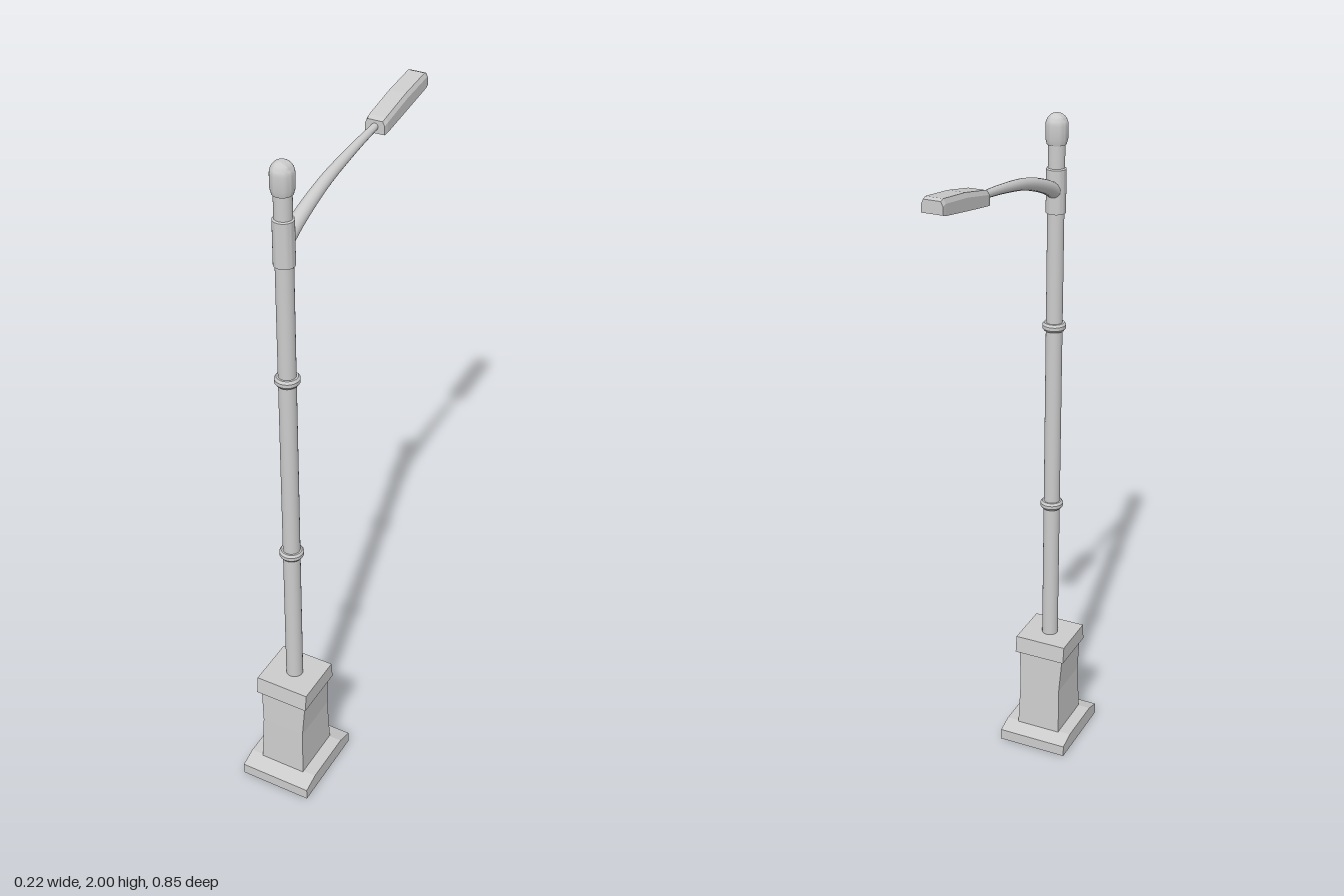
import * as THREE from 'three';
import { toCreasedNormals } from 'three/addons/utils/BufferGeometryUtils.js';

const POLE_Z = 0.293;
const smooth = new THREE.MeshStandardMaterial({ color: 0xcccccc });
const flat = new THREE.MeshStandardMaterial({ color: 0xcccccc, flatShading: true });

function add(group, name, geometry, material = smooth) {
  const mesh = new THREE.Mesh(geometry, material);
  mesh.name = name;
  group.add(mesh);
  return mesh;
}

// Closed skin through equal-length loops, counter-clockwise seen from the last loop's side
function loft(loops) {
  const n = loops[0].length, index = [];
  for (let i = 0; i < loops.length - 1; i++) {
    for (let j = 0; j < n; j++) {
      const a = i * n + j, b = i * n + (j + 1) % n;
      index.push(a, b, b + n, a, b + n, a + n);
    }
  }
  const last = (loops.length - 1) * n;
  for (let j = 1; j < n - 1; j++) {
    index.push(0, j + 1, j, last, last + j, last + j + 1);
  }
  const g = new THREE.BufferGeometry();
  g.setAttribute('position', new THREE.Float32BufferAttribute(loops.flat(2), 3));
  g.setIndex(index);
  g.computeVertexNormals();
  return g;
}

// Rectangular loop at height y with half sizes hx, hz
const rect = ([y, hx, hz]) => [[-hx, y, hz], [hx, y, hz], [hx, y, -hz], [-hx, y, -hz]];

function turned(points, segments = 32) {
  const profile = points.map(([r, y]) => new THREE.Vector2(r, y));
  return toCreasedNormals(new THREE.LatheGeometry(profile, segments), 0.6);
}

export function createModel() {
  const model = new THREE.Group();
  model.name = 'streetLamp';

  // Pedestal
  const blocks = {
    footing: [[0, 0.109, 0.131], [0.035, 0.109, 0.131], [0.05, 0.109, 0.08]],
    pedestalBody: [[0.04, 0.07, 0.084], [0.2, 0.066, 0.076], [0.32, 0.073, 0.069]],
    pedestalCap: [[0.312, 0.081, 0.082], [0.365, 0.081, 0.076]],
  };
  for (const [name, sections] of Object.entries(blocks)) {
    add(model, name, loft(sections.map(rect)), flat).position.z = POLE_Z;
  }

  // Pole with its rings, arm collar and domed cap
  const pole = new THREE.Group();
  pole.name = 'pole';
  pole.position.z = POLE_Z;
  model.add(pole);
  add(pole, 'shaft', new THREE.CylinderGeometry(0.0235, 0.0245, 1.6, 32).translate(0, 1.15, 0));
  for (const y of [0.82, 1.392]) {
    add(pole, 'ring', turned([[0.022, -0.012], [0.029, -0.012], [0.034, -0.005],
      [0.034, 0.005], [0.029, 0.012], [0.022, 0.012]])).position.y = y;
  }
  add(pole, 'collar', turned([[0.022, 1.725], [0.028, 1.725], [0.028, 1.848], [0.022, 1.852]]));
  const dome = [];
  for (let i = 0; i <= 8; i++) {
    const a = i / 8 * Math.PI / 2;
    dome.push([0.031 * Math.cos(a), 1.968 + 0.032 * Math.sin(a)]);
  }
  add(pole, 'cap', turned([[0, 1.915], [0.027, 1.915], [0.031, 1.93], ...dome]));

  // Curved arm, tapering towards the lamp
  const path = new THREE.CatmullRomCurve3([[1.782, 0.293], [1.812, 0.23], [1.854, 0.1],
    [1.88, -0.05], [1.896, -0.2]].map(([y, z]) => new THREE.Vector3(0, y, z)));
  const steps = 24, sides = 16;
  const arm = new THREE.TubeGeometry(path, steps, 1, sides);
  const pos = arm.attributes.position, v = new THREE.Vector3();
  for (let i = 0; i < pos.count; i++) {
    const t = Math.floor(i / (sides + 1)) / steps, c = path.getPointAt(t);
    v.fromBufferAttribute(pos, i).sub(c).multiplyScalar(0.022 - 0.013 * t).add(c);
    pos.setXYZ(i, v.x, v.y, v.z);
  }
  add(model, 'arm', arm);

  // Lamp head: flat underside, bevelled upper edges, sloping upwards
  const sections = [[-0.175, 1.875, 1.911, 0.028], [-0.19, 1.877, 1.917, 0.03],
    [-0.3, 1.895, 1.94, 0.03], [-0.412, 1.914, 1.955, 0.03], [-0.424, 1.918, 1.951, 0.029]];
  add(model, 'lampHead', loft(sections.map(([z, low, high, w]) => {
    const shoulder = high - 0.012;
    return [[-w, low, z], [-w, shoulder, z], [-w + 0.006, high, z],
      [w - 0.006, high, z], [w, shoulder, z], [w, low, z]];
  })), flat);

  return model;
}
